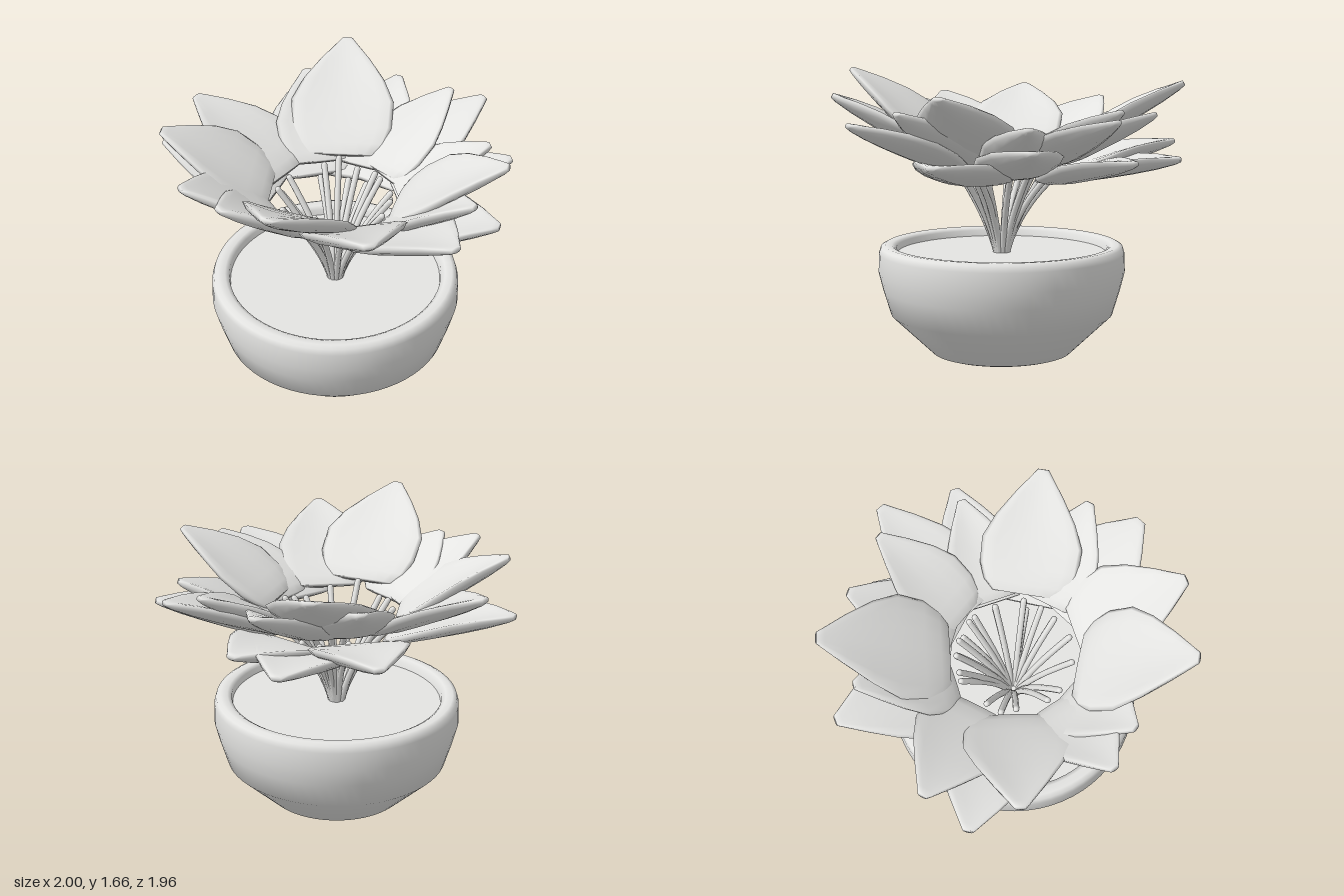
import * as THREE from 'three';

const clay = new THREE.MeshStandardMaterial({ color: 0xe4e4e2 });
clay.name = 'pale grey';

const CENTER = new THREE.Vector3(-0.01, 0, 0.1);

function add(group, name, geometry) {
  const mesh = new THREE.Mesh(geometry, clay);
  mesh.name = name;
  group.add(mesh);
  return mesh;
}

// Petal tips: x, y, z and half width
const PETALS = [
  // upper ring
  [0.13, 1.42, -0.97, 0.25], [0.83, 1.54, -0.37, 0.28], [0.80, 1.52, 0.63, 0.28],
  [0.43, 1.65, 0.96, 0.3], [-0.02, 1.46, 0.91, 0.25], [-0.74, 1.53, 0.72, 0.29],
  [-0.71, 1.59, -0.67, 0.3],
  // lower ring
  [0.53, 1.27, -0.77, 0.24], [0.46, 1.38, -0.66, 0.2], [-0.02, 1.46, -0.85, 0.21],
  [-0.37, 1.43, -0.77, 0.24], [-0.57, 1.17, -0.78, 0.28], [-0.93, 1.23, -0.40, 0.27],
  [-0.76, 1.47, -0.38, 0.24], [-0.99, 1.46, 0.28, 0.27], [-0.96, 1.29, 0.55, 0.28],
  [-0.27, 1.49, 0.96, 0.26], [0.99, 1.38, 0.20, 0.29], [0.87, 1.45, -0.07, 0.22],
  [0.84, 1.18, -0.32, 0.28], [-0.2, 1.17, -0.79, 0.26],
];

// Stations along a petal: position, width factor, thickness factor
const STATIONS = [
  [0, 0.66, 0.4], [0.08, 0.86, 0.8], [0.21, 0.98, 1], [0.42, 1, 1],
  [0.61, 0.79, 0.95], [0.8, 0.48, 0.8], [0.95, 0.2, 0.55], [1, 0.11, 0.35],
];
const SIDES = 16;

// Lofts a cupped, round-edged slab from base to tip
function petalGeometry(base, tip, halfWidth) {
  const along = tip.clone().sub(base);
  const side = new THREE.Vector3(along.z, 0, -along.x).normalize();
  const up = along.clone().normalize().cross(side).normalize();
  const pos = [], idx = [];
  for (const [t, w, h] of STATIONS) {
    for (let k = 0; k < SIDES; k++) {
      const a = (k / SIDES) * Math.PI * 2;
      const u = Math.cos(a), v = Math.sin(a);
      const slab = Math.sign(v) * Math.abs(v) ** 0.8 * h * (v > 0 ? 0.035 : 0.05);
      const cup = 0.05 * u * u * Math.sin(Math.PI * t);
      const p = base.clone().addScaledVector(along, t)
        .addScaledVector(side, u * w * halfWidth)
        .addScaledVector(up, slab + cup);
      pos.push(p.x, p.y, p.z);
    }
  }
  const last = (STATIONS.length - 1) * SIDES;
  for (let i = 0; i < STATIONS.length - 1; i++) {
    for (let k = 0; k < SIDES; k++) {
      const a = i * SIDES + k, b = i * SIDES + (k + 1) % SIDES;
      idx.push(a, b, a + SIDES, b, b + SIDES, a + SIDES);
    }
  }
  for (let k = 1; k < SIDES - 1; k++) {
    idx.push(0, k + 1, k, last, last + k, last + k + 1);
  }
  const g = new THREE.BufferGeometry();
  g.setAttribute('position', new THREE.Float32BufferAttribute(pos, 3));
  g.setIndex(idx);
  g.computeVertexNormals();
  return g;
}

function stemGeometry(direction, radius, height) {
  const at = (r, y) => CENTER.clone().addScaledVector(direction, r).setY(y);
  const curve = new THREE.QuadraticBezierCurve3(at(0.025, 0.57), at(0.09, 0.84), at(radius, height));
  return new THREE.TubeGeometry(curve, 10, 0.018, 8);
}

// Rounded end closing a stem
function stemEnd(group, direction, radius, height) {
  const end = add(group, 'stemEnd', new THREE.SphereGeometry(0.018, 8, 6));
  end.position.copy(CENTER).addScaledVector(direction, radius).setY(height);
}

export function createModel() {
  const model = new THREE.Group();
  model.name = 'pottedFlower';

  // Bowl with a rounded rim and an open top
  const profile = [
    [0, 0], [0.38, 0], [0.41, 0.01], [0.65, 0.24], [0.695, 0.39], [0.72, 0.49], [0.716, 0.6],
    [0.705, 0.635], [0.68, 0.648], [0.64, 0.645], [0.615, 0.63], [0.605, 0.56],
  ].map(([r, y]) => new THREE.Vector2(r, y));
  add(model, 'bowl', new THREE.LatheGeometry(profile, 64)).position.copy(CENTER);

  // Soil surface
  const soil = add(model, 'soil', new THREE.CylinderGeometry(0.61, 0.61, 0.02, 64));
  soil.position.copy(CENTER).setY(0.585);

  // One stem under each petal
  const stems = new THREE.Group();
  stems.name = 'stems';
  const petals = new THREE.Group();
  petals.name = 'petals';
  model.add(stems, petals);
  PETALS.forEach(([x, y, z, halfWidth], i) => {
    const tip = new THREE.Vector3(x, y, z);
    const direction = tip.clone().sub(CENTER).setY(0).normalize();
    const baseY = 1.05 + (y - 1.16) * 0.35;
    const base = CENTER.clone().addScaledVector(direction, 0.36).setY(baseY);
    add(petals, 'petal' + (i + 1), petalGeometry(base, tip, halfWidth));
    add(stems, 'stem' + (i + 1), stemGeometry(direction, 0.32, baseY));
    stemEnd(stems, direction, 0.32, baseY);
  });

  return model;
}
